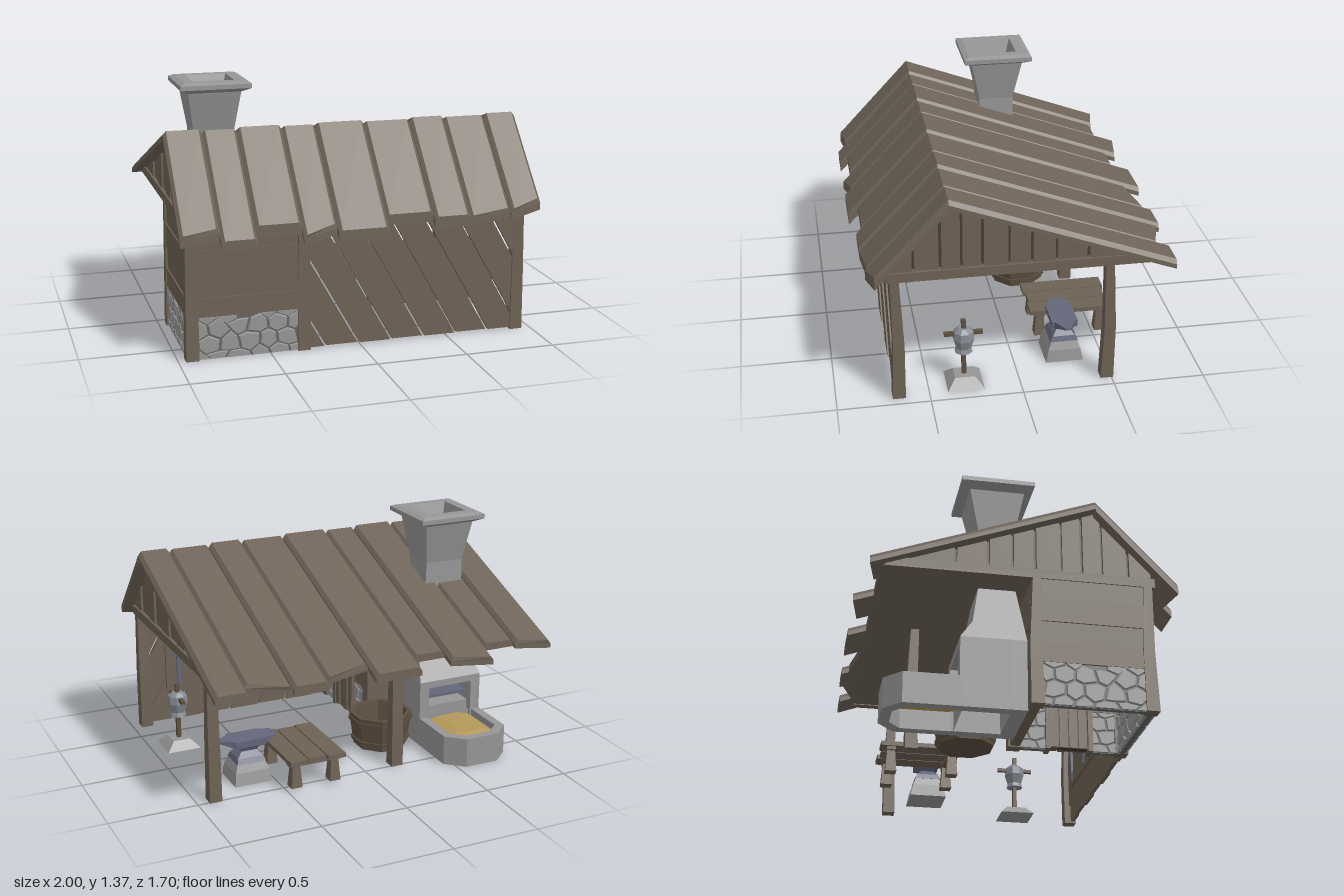
import * as THREE from 'three';
import { mergeGeometries } from 'three/addons/utils/BufferGeometryUtils.js';

const mat = (name, color) => Object.assign(new THREE.MeshStandardMaterial({ color }), { name });

// Skin through cross-section loops with flat faces; ends closed unless caps is false
function loft(loops, caps = true) {
  const p = [];
  const tri = (a, b, c) => p.push(...a, ...b, ...c);
  const n = loops[0].length;
  for (let k = 0; k < loops.length - 1; k++) {
    const a = loops[k], b = loops[k + 1];
    for (let i = 0; i < n; i++) {
      const j = (i + 1) % n;
      tri(a[i], a[j], b[j]);
      tri(a[i], b[j], b[i]);
    }
  }
  const s = loops[0], e = loops[loops.length - 1];
  for (let i = 1; caps && i < n - 1; i++) {
    tri(s[0], s[i + 1], s[i]);
    tri(e[0], e[i], e[i + 1]);
  }
  const g = new THREE.BufferGeometry();
  g.setAttribute('position', new THREE.Float32BufferAttribute(p, 3));
  g.computeVertexNormals();
  return g;
}
// Horizontal loops
const rect = (y, x0, x1, z0, z1) => [[x0, y, z1], [x1, y, z1], [x1, y, z0], [x0, y, z0]];
const ring = (y, r, cx, cz) => Array.from({ length: 8 }, (_, i) => {
  const a = (i + 0.5) / 8 * Math.PI * 2;
  return [cx + r * Math.cos(a), y, cz - r * Math.sin(a)];
});
const box = (x0, x1, y0, y1, z0, z1) => loft([rect(y0, x0, x1, z0, z1), rect(y1, x0, x1, z0, z1)]);

// Roof surface height
const RIDGE = 0.39;
const roofY = z => z > RIDGE ? 1.18 - 1.065 * (z - RIDGE) : 1.18 - 0.37 * (RIDGE - z);

// Keep the part of an x,y polygon where s * x <= s * lim
function clipX(poly, lim, s) {
  const out = [];
  poly.forEach((a, i) => {
    const b = poly[(i + 1) % poly.length];
    const ia = s * a[0] <= s * lim, ib = s * b[0] <= s * lim;
    if (ia) out.push(a);
    if (ia !== ib) out.push([lim, a[1] + (b[1] - a[1]) * (lim - a[0]) / (b[0] - a[0])]);
  });
  return out;
}

// Irregular honeycomb stones, visible on both faces of a wall of length len
function stoneGeometry(len, h) {
  const noise = (x, y, k) => {
    const v = Math.sin(Math.round(x * 500) * 12.9 + Math.round(y * 500) * 78.2 + k * 37.7 + len * 9) * 43758.5;
    return (v - Math.floor(v) - 0.5) * 0.035;
  };
  const list = [], w = 0.11, r = 0.085;
  for (let row = 0; row <= 3; row++) for (let col = 0; col <= len / w + 1; col++) {
    const cx = (col + (row % 2) / 2) * w, cy = row * r;
    const hex = [[0, -2 / 3], [0.5, -1 / 3], [0.5, 1 / 3], [0, 2 / 3], [-0.5, 1 / 3], [-0.5, -1 / 3]].map(([u, v]) => {
      const x = cx + u * w, y = cy + v * r;
      return [THREE.MathUtils.clamp(x + noise(x, y, 1), 0, len), THREE.MathUtils.clamp(y + noise(x, y, 2), 0, h)];
    });
    const xs = hex.map(q => q[0]), ys = hex.map(q => q[1]);
    if (Math.max(...xs) - Math.min(...xs) < 0.03 || Math.max(...ys) - Math.min(...ys) < 0.025) continue;
    const mx = xs.reduce((a, b) => a + b) / 6, my = ys.reduce((a, b) => a + b) / 6;
    const at = (z, k) => hex.map(([x, y]) => [mx + (x - mx) * k - len / 2, my + (y - my) * k, z]);
    list.push(loft([at(-0.026, 0.82), at(-0.018, 0.91), at(0.018, 0.91), at(0.026, 0.82)]));
  }
  return mergeGeometries(list);
}

export function createModel() {
  const root = new THREE.Group();
  root.name = 'smithy';
  const wood = mat('wood', 0x6e6255), roofWood = mat('roofWood', 0x6f6458), darkWood = mat('darkWood', 0x5e5040);
  const grooveWood = mat('grooveWood', 0x463d34);
  const stone = mat('stone', 0x969696), mortar = mat('mortar', 0x666664);
  const iron = mat('iron', 0x63677a), steel = mat('steel', 0x868c93), sand = mat('sand', 0xb5985a);
  const add = (name, geo, m, parent = root) => {
    const mesh = new THREE.Mesh(geo, m);
    mesh.name = name;
    parent.add(mesh);
    return mesh;
  };

  // Roof planks: uneven ends, bevelled long edges
  const xs = [-1, -0.79, -0.6, -0.355, -0.165, 0.11, 0.375, 0.575, 0.815, 1];
  const back = [[0.8, 0.76], [0.74, 0.74], [0.85, 0.81], [0.74, 0.74], [0.84, 0.84], [0.74, 0.79], [0.83, 0.83], [0.81, 0.74], [0.81, 0.81]];
  const front = [[0.82, 0.8], [0.845, 0.845], [0.8, 0.8], [0.845, 0.81], [0.845, 0.845], [0.79, 0.79], [0.82, 0.82], [0.82, 0.8], [0.81, 0.775]];
  for (let i = 0; i < 9; i++) {
    const x0 = xs[i], x1 = xs[i + 1], d = i % 2 ? 0.008 : 0, t = 0.018;
    const slab = (a, b, thick) => {
      const pts = [[x0, a[0]], [x1, a[1]], [x1, b[1]], [x0, b[0]]];
      return loft([
        pts.map(([x, z]) => [x, roofY(z) - thick, z]),
        pts.map(([x, z]) => [x, roofY(z) - 0.024 - d, z]),
        pts.map(([x, z]) => [x === x0 ? x + t : x - t, roofY(z) - d, z])]);
    };
    add('frontRoofPlank', slab(front[i], [RIDGE, RIDGE], 0.065), roofWood);
    add('backRoofPlank', slab([RIDGE, RIDGE], back[i].map(z => -z), 0.05), roofWood);
  }
  add('ceiling', box(-0.93, 0.93, 0.715, 0.73, -0.74, 0.7), roofWood);

  // Gables: tie beam, dark backing and upright boards cut to the roof
  const gz = [0.7, 0.57, 0.43, 0.32, 0.21, 0.07, -0.05, -0.18, -0.35, -0.66];
  const gablePanel = (name, z1, z0, x, half, m) => {
    const top = z => roofY(z) - 0.035;
    const poly = [[z1, 0.74], [z0, 0.74], [z0, top(z0)]];
    if (z0 < RIDGE && z1 > RIDGE) poly.push([RIDGE, top(RIDGE)]);
    poly.push([z1, top(z1)]);
    add(name, loft([-half, half].map(dx => poly.map(([z, y]) => [x + dx, y, z]))), m);
  };
  for (const s of [-1, 1]) {
    add('gableBeam', box(s * 0.925 - 0.025, s * 0.925 + 0.025, 0.71, 0.762, -0.72, 0.71), wood);
    gablePanel('gableBacking', 0.7, -0.66, s * 0.905, 0.006, grooveWood);
    for (let i = 0; i < gz.length - 1; i++) {
      gablePanel('gableBoard', gz[i] - 0.007, gz[i + 1] + 0.007, s * (0.926 - (i % 2) * 0.008), 0.012, wood);
    }
  }

  // Posts, slightly crooked
  const post = (x, z, h = 0.73, w = 0.035) => add('post', loft([
    rect(0, x - w, x + w, z - w, z + w),
    rect(h * 0.45, x - w * 0.85, x + w * 1.05, z - w * 1.05, z + w * 0.7),
    rect(h, x - w * 0.8, x + w * 0.8, z - w * 0.5, z + w * 0.8)]), wood);
  for (const x of [-0.925, -0.315, 0.915]) post(x, 0.665);
  for (const x of [-0.925, -0.315]) post(x, 0.07);
  for (const x of [-0.2, 0.9]) post(x, -0.475);

  // Diagonal board wall at the front
  for (let i = -1; i < 8; i++) {
    const b1 = i * 0.188 - 0.008, b0 = b1 - 0.176, k = 0.56, y0 = 0.01, y1 = 0.78;
    let poly = [[b0 - k * y0, y0], [b1 - k * y0, y0], [b1 - k * y1, y1], [b0 - k * y1, y1]];
    poly = clipX(clipX(poly, -0.3, -1), 0.9, 1);
    if (poly.length < 3) continue;
    const z = 0.66 + Math.abs(i % 2) * 0.008;
    add('diagonalBoard', loft([z, z + 0.022].map(q => poly.map(([x, y]) => [x, y, q]))), wood);
  }

  // Room walls: stone footing with wide boards above
  const wall = (name, len, x, z, turn, gaps) => {
    const g = new THREE.Group();
    g.name = name;
    g.position.set(x, 0, z);
    g.rotation.y = turn;
    for (const [a, b] of gaps) {
      add('footing', box(a, b, 0, 0.235, -0.014, 0.014), mortar, g);
      add('footingStones', stoneGeometry(b - a, 0.235), stone, g).position.x = (a + b) / 2;
    }
    [gaps.length ? 0.235 : 0.005, 0.34, 0.465, 0.6, 0.73].forEach((y, i, ys) => {
      const t = 0.018 + (i % 2) * 0.008;
      if (i) add('wallBoard', box(-len / 2, len / 2, ys[i - 1], y, -t, t), wood, g);
    });
    root.add(g);
  };
  const full = [[-0.275, 0.275]];
  wall('frontWall', 0.55, -0.62, 0.665, 0, full);
  wall('backWall', 0.55, -0.62, 0.07, 0, []);
  wall('sideWall', 0.55, -0.925, 0.37, Math.PI / 2, full);
  wall('doorWall', 0.55, -0.32, 0.37, Math.PI / 2, [[-0.275, -0.12], [0.12, 0.275]]);

  // Door with upright boards, frame and lintel
  add('doorBacking', box(-0.34, -0.3, 0.015, 0.42, 0.26, 0.48), grooveWood);
  for (let i = 0; i < 4; i++) {
    const z = 0.265 + i * 0.053;
    add('doorBoard', box(-0.35, -0.283 + (i % 2) * 0.006, 0.015, 0.42, z, z + 0.046), wood);
  }
  for (const z of [0.24, 0.475]) add('doorFrame', box(-0.36, -0.272, 0, 0.42, z, z + 0.027), wood);
  add('doorLintel', box(-0.36, -0.265, 0.415, 0.447, 0.235, 0.51), wood);

  // Forge: hollow hearth, tapering hood and flared chimney with an open cap
  const F = [-0.85, -0.45];
  add('hearthBack', box(...F, 0, 0.39, -0.04, 0.04), stone);
  add('hearthSide', box(F[0], F[0] + 0.06, 0, 0.39, -0.31, -0.04), stone);
  add('hearthSide', box(F[1] - 0.06, F[1], 0, 0.39, -0.31, -0.04), stone);
  add('hearthLintel', box(F[0] + 0.06, F[1] - 0.06, 0.35, 0.39, -0.31, -0.04), stone);
  add('hearthStep', box(F[0] + 0.06, F[1] - 0.06, 0.12, 0.22, -0.27, -0.04), stone);
  add('hearthShelf', box(F[0] + 0.06, F[1] - 0.06, 0.26, 0.275, -0.25, -0.04), iron);
  const sq = (y, h, hz = h) => rect(y, -0.645 - h, -0.645 + h, -0.105 - hz, -0.105 + hz);
  add('chimney', loft([
    rect(0.39, ...F, -0.31, 0.04), rect(0.5, -0.81, -0.48, -0.24, 0.03), sq(0.72, 0.125, 0.1), sq(1.08, 0.115, 0.1),
    sq(1.31, 0.15), sq(1.335, 0.2), sq(1.36, 0.2), sq(1.372, 0.17), sq(1.372, 0.118), sq(1.2, 0.07)]), stone);

  // Open-bottomed trough with chamfered end and a heaped bed of sand
  const trough = (y, i) => [[F[0] + i, y, -0.29], [F[1] - i, y, -0.29], [F[1] - i, y, -0.6 + i * 0.5],
    [F[1] - 0.1 - i * 0.5, y, -0.69 + i], [F[0] + 0.1 + i * 0.5, y, -0.69 + i], [F[0] + i, y, -0.6 + i * 0.5]];
  add('trough', loft([trough(0, 0), trough(0.17, 0), trough(0.17, 0.05), trough(0, 0.055), trough(0, 0)], false), stone);
  add('sandBed', loft([trough(0.11, 0.05), trough(0.13, 0.052), trough(0.155, 0.13)]), sand);

  // Bench: three planks and four splayed legs
  for (let i = 0; i < 3; i++) {
    const x = 0.17 + i * 0.112;
    add('benchPlank', box(x, x + 0.105, 0.165, 0.19, -0.6 + (i % 2) * 0.015, -0.13 - (i % 2) * 0.012), wood);
  }
  for (const z of [-0.54, -0.19]) {
    for (const x of [0.22, 0.45]) add('benchLeg', loft([
      rect(0.02, x - 0.032, x + 0.032, z - 0.032, z + 0.032), rect(0.15, x - 0.022, x + 0.022, z - 0.022, z + 0.022)]), wood);
    add('benchBrace', box(0.18, 0.49, 0.145, 0.166, z - 0.025, z + 0.025), wood);
  }

  // Eight-sided tub with two hoops
  const tx = -0.255, tz = -0.185, tr = y => 0.157 + y * 0.13;
  add('tub', loft([ring(0.01, tr(0), tx, tz), ring(0.21, tr(0.21), tx, tz), ring(0.21, 0.158, tx, tz), ring(0.05, 0.14, tx, tz)]), darkWood);
  for (const y of [0.035, 0.16]) add('tubHoop', loft([
    ring(y, tr(y), tx, tz), ring(y, tr(y) + 0.008, tx, tz), ring(y + 0.025, tr(y) + 0.011, tx, tz), ring(y + 0.025, tr(y), tx, tz)], false), darkWood);

  // Anvil on a stone block
  const around = (y, a, b) => rect(y, 0.63 - a, 0.63 + a, -0.28 - b, -0.28 + b);
  add('anvilBlock', loft([around(0, 0.11, 0.105), around(0.07, 0.1, 0.09), around(0.135, 0.075, 0.065)]), stone);
  add('anvilBody', loft([around(0.115, 0.085, 0.078), around(0.145, 0.075, 0.062), around(0.175, 0.045, 0.035),
    around(0.195, 0.06, 0.045), around(0.21, 0.09, 0.07), around(0.25, 0.095, 0.072)]), iron);
  for (const s of [-1, 1]) {
    const end = (x, y0, b) => [[x, y0, -0.28 + b], [x, y0, -0.28 - b], [x, 0.25, -0.28 - b], [x, 0.25, -0.28 + b]];
    const loops = [end(0.63 + s * 0.09, 0.21, 0.06), end(0.63 + s * (s > 0 ? 0.17 : 0.16), 0.238, s > 0 ? 0.012 : 0.045)];
    add(s > 0 ? 'anvilHorn' : 'anvilHeel', loft(s > 0 ? loops : loops.reverse()), iron);
  }

  // Armour stand
  const ax = 0.83, az = 0.3;
  add('standBase', loft([rect(0, ax - 0.1, ax + 0.1, az - 0.1, az + 0.1), rect(0.05, ax - 0.05, ax + 0.05, az - 0.055, az + 0.055)]), stone);
  add('standPole', box(ax - 0.012, ax + 0.012, 0.04, 0.385, az - 0.012, az + 0.012), darkWood);
  add('standArms', box(ax - 0.012, ax + 0.012, 0.292, 0.312, az - 0.105, az + 0.105), darkWood);
  add('breastplate', loft([ring(0.19, 0.05, ax, az), ring(0.215, 0.042, ax, az), ring(0.27, 0.06, ax, az),
    ring(0.315, 0.055, ax, az), ring(0.335, 0.03, ax, az)]), steel);

  // Tool board with hanging blades inside the front wall
  add('toolBoard', box(0.05, 0.78, 0.2, 0.55, 0.645, 0.66), wood);
  for (const x of [0.4, 0.7]) {
    add('blade', loft([rect(0.22, x - 0.004, x + 0.004, 0.632, 0.642), rect(0.27, x - 0.014, x + 0.014, 0.63, 0.644),
      rect(0.43, x - 0.014, x + 0.014, 0.63, 0.644)]), iron);
    add('bladeGuard', box(x - 0.04, x + 0.04, 0.43, 0.445, 0.625, 0.646), iron);
    add('bladeGrip', box(x - 0.009, x + 0.009, 0.445, 0.51, 0.628, 0.644), darkWood);
  }
  return root;
}
